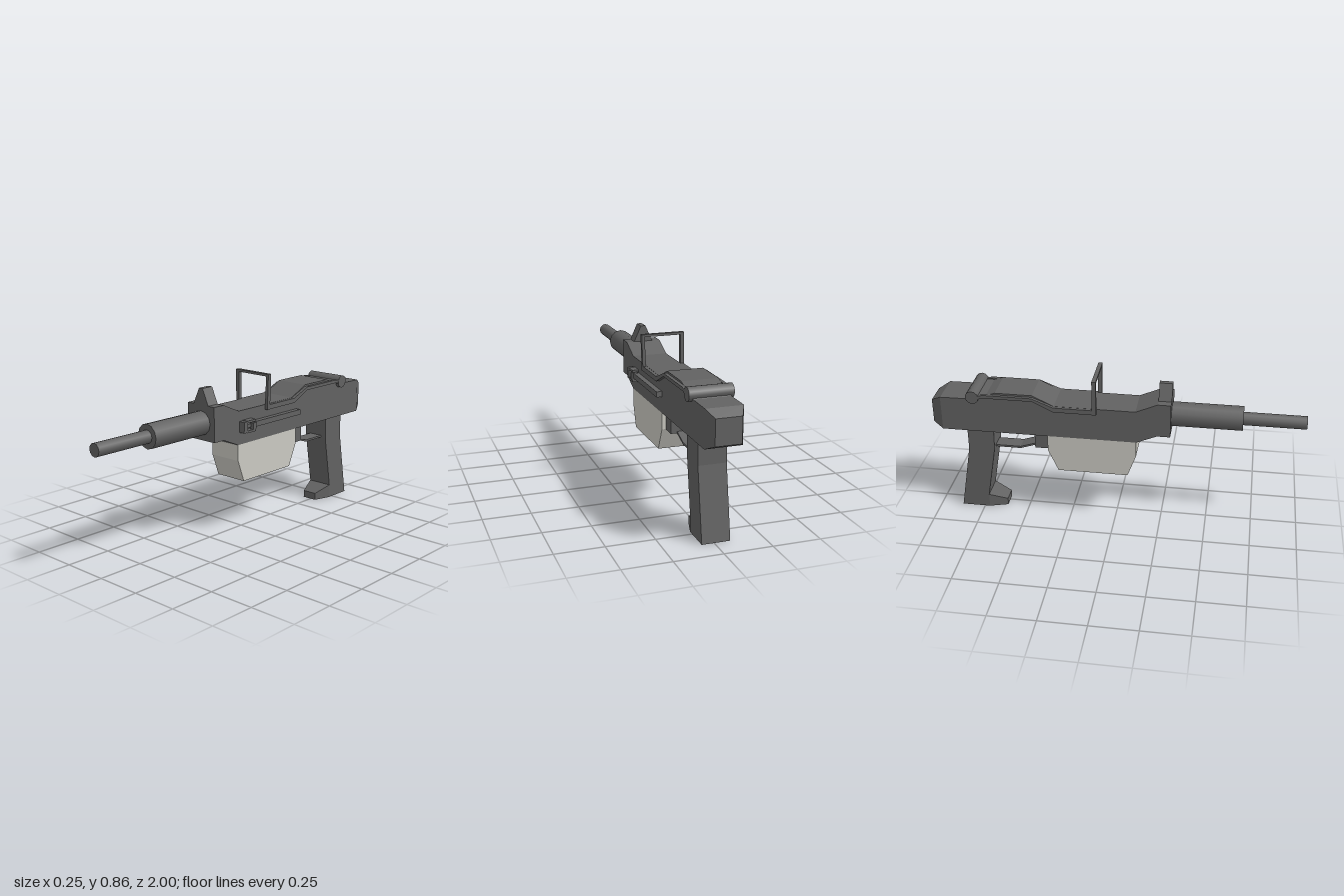
import * as THREE from 'three';

const CX = -0.01; // centre line of the body

export function createModel() {
  const group = new THREE.Group();
  const gunmetal = new THREE.MeshStandardMaterial({ color: 0x626262 });
  gunmetal.name = 'gunmetal';
  const paleGrey = new THREE.MeshStandardMaterial({ color: 0xcac9c2 });
  paleGrey.name = 'paleGrey';

  const add = (name, geometry, material = gunmetal) => {
    const mesh = new THREE.Mesh(geometry, material);
    mesh.name = name;
    group.add(mesh);
    return mesh;
  };
  const shapeOf = (pts) => new THREE.Shape(pts.map(([a, b]) => new THREE.Vector2(a, b)));

  // Side profile given as [z, y], extruded across x
  const slab = (name, pts, x0, x1, material) => {
    const g = new THREE.ExtrudeGeometry(shapeOf(pts), { depth: x1 - x0, bevelEnabled: false });
    g.rotateY(-Math.PI / 2).translate(x1, 0, 0);
    return add(name, g, material);
  };
  // Front outline given as [x, y], extruded along z
  const plate = (name, shape, z0, z1) => {
    const g = new THREE.ExtrudeGeometry(shape, { depth: z1 - z0, bevelEnabled: false });
    return add(name, g.translate(0, 0, z0));
  };
  const box = (name, x0, x1, y0, y1, z0, z1) =>
    add(name, new THREE.BoxGeometry(x1 - x0, y1 - y0, z1 - z0)
      .translate((x0 + x1) / 2, (y0 + y1) / 2, (z0 + z1) / 2));
  // Block between two end sections: { z, w (half width), y: [bottom, top] }
  const loft = (name, back, front) => {
    const g = new THREE.BoxGeometry(2, 2, 2);
    const p = g.attributes.position;
    for (let i = 0; i < p.count; i++) {
      const s = p.getZ(i) > 0 ? front : back;
      p.setXYZ(i, CX + p.getX(i) * s.w, s.y[p.getY(i) > 0 ? 1 : 0], s.z);
    }
    g.computeVertexNormals();
    return add(name, g);
  };

  // Receiver and tapered tail
  slab('receiver', [
    [0.295, 0.55], [0.295, 0.738], [0.225, 0.738], [0.11, 0.687], [-0.325, 0.687],
    [-0.44, 0.742], [-0.64, 0.742], [-0.69, 0.725], [-0.76, 0.725], [-0.8, 0.697],
    [-0.943, 0.695], [-0.943, 0.503], [0.115, 0.503], [0.225, 0.55],
  ], CX - 0.095, CX + 0.095);
  loft('tail', { z: -1, w: 0.066, y: [0.53, 0.662] }, { z: -0.943, w: 0.095, y: [0.503, 0.695] });

  // Barrel
  const barrel = (name, r, z0, z1) => {
    const g = new THREE.CylinderGeometry(r, r, z1 - z0, 12).rotateX(Math.PI / 2);
    add(name, g.translate(CX, 0.642, (z0 + z1) / 2));
  };
  barrel('barrelSleeve', 0.065, 0.29, 0.67);
  barrel('barrel', 0.035, 0.66, 1);

  // Front sight
  plate('frontSight', shapeOf([[-0.066, 0.73], [0.046, 0.73], [0.003, 0.825], [-0.023, 0.825]]),
    0.225, 0.295);

  // Rear sight frame
  const frame = shapeOf([[-0.124, 0.66], [-0.105, 0.66], [-0.105, 0.842], [0.094, 0.842],
    [0.086, 0.66], [0.104, 0.66], [0.11, 0.855], [-0.124, 0.855]]);
  plate('rearSightFrame', frame, -0.118, -0.096);

  // Side rails that follow the top cover
  const rail = [[-0.1, 0.66], [-0.1, 0.686], [-0.325, 0.686], [-0.44, 0.732], [-0.7, 0.732],
    [-0.77, 0.72], [-0.77, 0.69], [-0.71, 0.714], [-0.435, 0.714], [-0.325, 0.66]];
  slab('railRight', rail, -0.121, -0.104);
  slab('railLeft', rail, 0.084, 0.103);

  // Hinge rod
  add('hingeRod', new THREE.CylinderGeometry(0.036, 0.036, 0.227, 12)
    .rotateZ(Math.PI / 2).translate(-0.009, 0.714, -0.763));

  // Charging handle on the left side
  box('handleRail', 0.08, 0.114, 0.588, 0.617, -0.367, 0.015);
  box('handleStem', 0.08, 0.108, 0.592, 0.61, 0.015, 0.08);
  box('handleBlock', 0.08, 0.12, 0.57, 0.63, 0.078, 0.106);
  for (const y of [0.573, 0.627]) box('handleArm', 0.08, 0.12, y - 0.006, y + 0.006, 0.015, 0.08);
  box('handleCatch', 0.1, 0.123, 0.58, 0.615, 0.012, 0.038);

  // Magazine and the block behind it
  slab('magazine', [[0.115, 0.503], [0.115, 0.415], [0.07, 0.293], [-0.31, 0.293],
    [-0.365, 0.415], [-0.365, 0.503]], CX - 0.0945, CX + 0.0945, paleGrey);
  box('magazineCatch', CX - 0.073, CX + 0.073, 0.413, 0.51, -0.44, -0.355);

  // Trigger guard
  slab('triggerGuard', [[-0.435, 0.424], [-0.53, 0.392], [-0.68, 0.392], [-0.68, 0.381],
    [-0.53, 0.381], [-0.435, 0.413]], CX - 0.04, CX + 0.04);

  // Grip and its tapered foot
  slab('grip', [[-0.667, 0.51], [-0.67, 0.38], [-0.722, 0.077], [-0.722, 0], [-0.878, 0],
    [-0.814, 0.375], [-0.814, 0.51]], CX - 0.073, CX + 0.073);
  loft('gripFoot', { z: -0.722, w: 0.073, y: [0, 0.077] }, { z: -0.622, w: 0.043, y: [0, 0.04] });

  return group;
}
